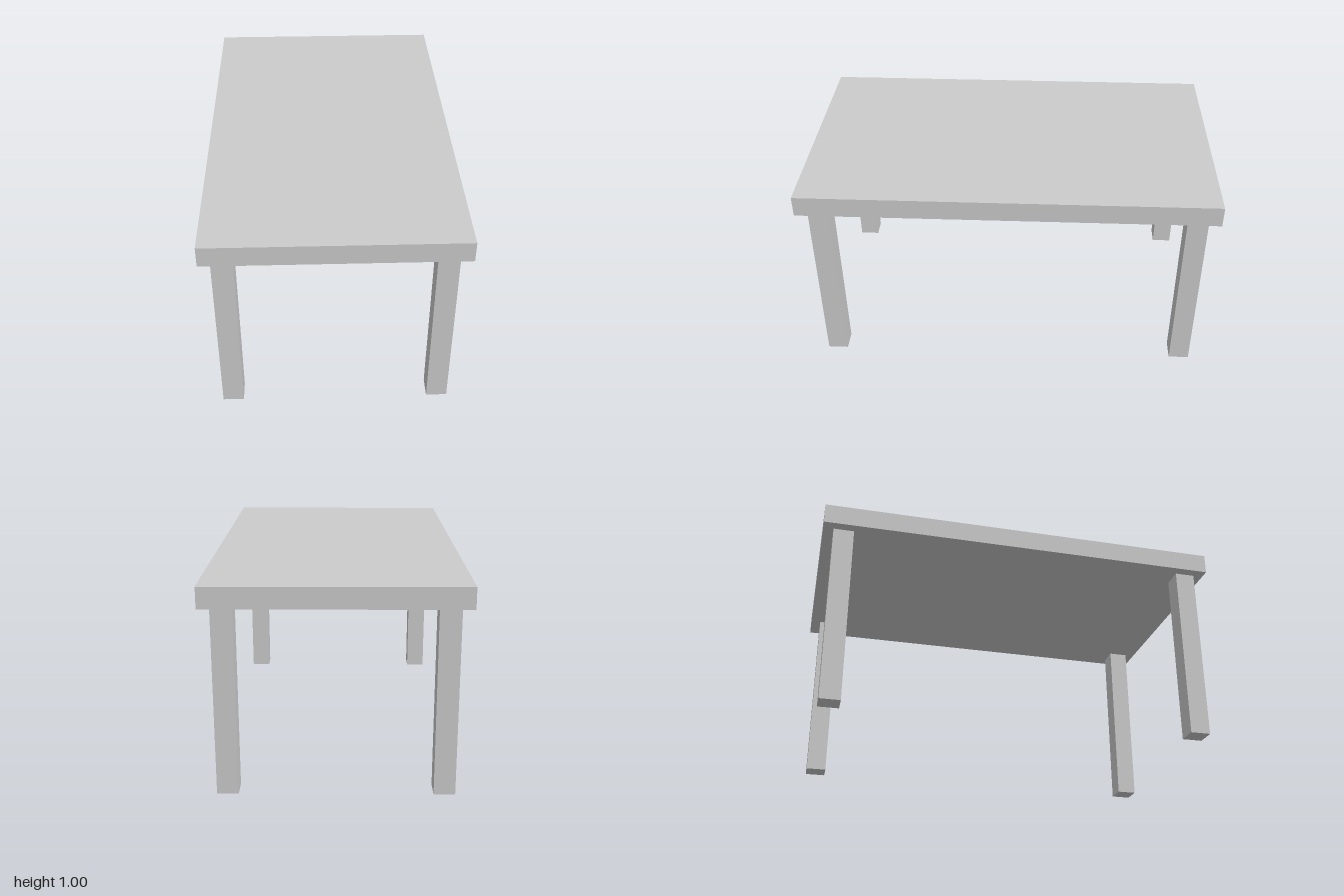
import * as THREE from 'three';

export function createModel() {
  const group = new THREE.Group();
  group.name = 'table';
  const material = new THREE.MeshStandardMaterial({ color: 0xcccccc });

  const addBox = (name, [w, h, d], [x, y, z]) => {
    const mesh = new THREE.Mesh(new THREE.BoxGeometry(w, h, d), material);
    mesh.name = name;
    mesh.position.set(x, y, z);
    group.add(mesh);
  };

  // Slab top
  addBox('tableTop', [1.2, 0.1, 2], [0, 0.95, 0]);

  // Four square legs, slightly inset from the corners
  for (const [side, x] of [['Left', 0.5], ['Right', -0.5]]) {
    for (const [end, z] of [['front', 0.9], ['back', -0.9]]) {
      addBox(`${end}${side}Leg`, [0.1, 0.9, 0.1], [x, 0.45, z]);
    }
  }

  return group;
}
